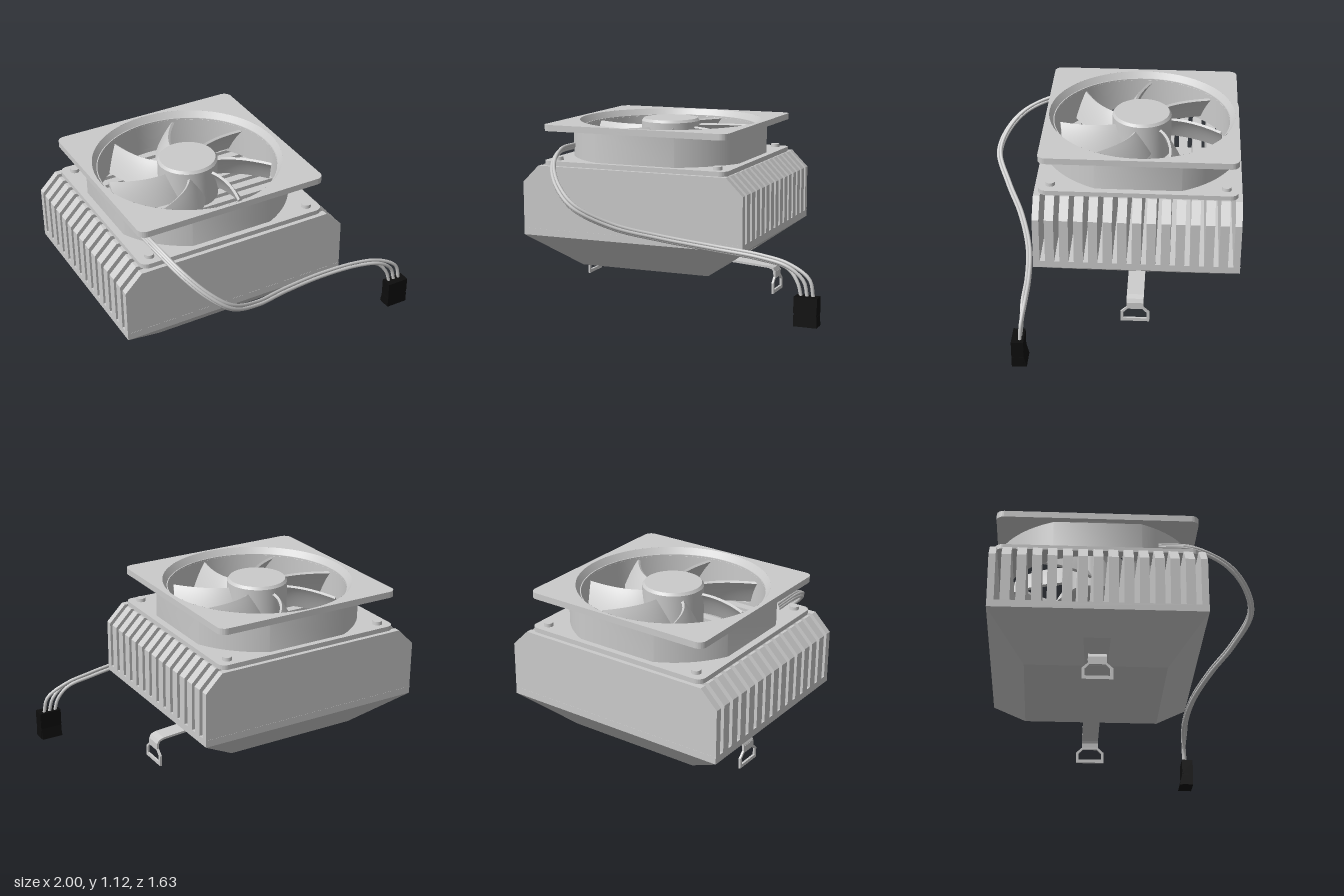
import * as THREE from 'three';
import { toCreasedNormals } from 'three/addons/utils/BufferGeometryUtils.js';
import { ConvexGeometry } from 'three/addons/geometries/ConvexGeometry.js';

const CX = -0.25, CZ = -0.172;
const grey = new THREE.MeshStandardMaterial({ color: 0xcccccc });
const greyDouble = new THREE.MeshStandardMaterial({ color: 0xcccccc, side: THREE.DoubleSide });
const black = new THREE.MeshStandardMaterial({ color: 0x0d0d0d });

function add(parent, name, geometry, material = grey) {
  const mesh = new THREE.Mesh(geometry, material);
  mesh.name = name;
  parent.add(mesh);
  return mesh;
}

const polygon = (pts) => new THREE.Shape(pts.map(([x, y]) => new THREE.Vector2(x, y)));
const extrude = (shape, depth) =>
  new THREE.ExtrudeGeometry(shape, { depth, bevelEnabled: false, curveSegments: 48 });
const hull = (pts) => new ConvexGeometry(pts.map((p) => new THREE.Vector3(...p)));

// Horizontal plate with a round opening, lying between y0 and y1
function plate(shape, hole, y0, y1) {
  shape.holes.push(new THREE.Path().absarc(0, 0, hole, 0, Math.PI * 2, true));
  const g = extrude(shape, y1 - y0).rotateX(-Math.PI / 2).translate(0, y0, 0);
  return toCreasedNormals(g, 0.5);
}

function roundedSquare(hx, hy, r) {
  const s = new THREE.Shape();
  s.absarc(hx - r, hy - r, r, 0, Math.PI / 2);
  s.absarc(r - hx, hy - r, r, Math.PI / 2, Math.PI);
  s.absarc(r - hx, r - hy, r, Math.PI, Math.PI * 1.5);
  s.absarc(hx - r, r - hy, r, Math.PI * 1.5, Math.PI * 2);
  return s;
}

function heatSink() {
  const g = new THREE.Group();
  g.name = 'heatSink';
  const rim = add(g, 'baseRim', new THREE.BoxGeometry(1.5, 0.045, 1.29));
  rim.position.set(CX, 0.4175, CZ);

  // Parallel fins with chamfered top corners; the end fins are thinner
  const profile = [[-1, 0.43], [0.5, 0.43], [0.5, 0.74], [0.39, 0.85], [-0.89, 0.85], [-1, 0.74]];
  for (let i = -7; i <= 7; i++) {
    const end = Math.abs(i) === 7, depth = end ? 0.042 : 0.057;
    const z = end ? CZ + Math.sign(i) * 0.623 : CZ + i * 0.09;
    add(g, 'fin', extrude(polygon(profile), depth)).position.z = z - depth / 2;
  }

  // Tapered base with a tunnel for the clip, made from convex pieces
  const section = (y) => {
    const t = (y - 0.175) / 0.22;
    return { hx: 0.44 + 0.31 * t, hz: 0.425 + 0.22 * t };
  };
  const slab = (levels) => hull(levels.flatMap(([y, z0, z1]) => {
    const { hx } = section(y);
    return [[CX - hx, y, z0], [CX + hx, y, z0], [CX - hx, y, z1], [CX + hx, y, z1]];
  }));
  const low = 0.185, high = 0.285;
  const full = (y) => [y, CZ - section(y).hz, CZ + section(y).hz];
  add(g, 'baseTop', slab([full(high), full(0.395)]));
  add(g, 'baseBottom', slab([full(0.175), full(low)]));
  add(g, 'baseFront', slab([[low, CZ + 0.068, full(low)[2]], [high, CZ + 0.08, full(high)[2]]]));
  add(g, 'baseBack', slab([[low, full(low)[1], CZ - 0.068], [high, full(high)[1], CZ - 0.08]]));
  return g;
}

function bladeGeometry() {
  const geo = new THREE.BoxGeometry(1, 1, 1, 12, 1, 6), p = geo.attributes.position;
  const w = 0.05, h = 0.08, len = Math.hypot(w, h);
  for (let i = 0; i < p.count; i++) {
    const u = p.getX(i) + 0.5, side = p.getY(i) * 0.018, s = p.getZ(i) * 2;
    const r = 0.17 + 0.355 * u;
    const a = THREE.MathUtils.degToRad(107 - 38 * u + 9 * u * u);
    const across = s * w - side * h / len;
    p.setXYZ(i,
      r * Math.cos(a) + across * Math.sin(a),
      0.985 + s * h + side * w / len + 0.012 * (1 - s * s),
      -r * Math.sin(a) + across * Math.cos(a));
  }
  return toCreasedNormals(geo, 0.6);
}

function fan() {
  const g = new THREE.Group();
  g.name = 'fan';
  g.position.set(-0.246, 0, CZ);
  add(g, 'lowerPlate', plate(roundedSquare(0.625, 0.617, 0.05), 0.565, 0.85, 0.88));
  add(g, 'upperFlange', plate(roundedSquare(0.627, 0.615, 0.05), 0.597, 1.07, 1.11));

  // Barrel: a cylinder flattened on four sides
  const R = 0.637, flat = Math.acos(0.58 / R), barrel = new THREE.Shape();
  for (let k = 0; k < 4; k++) {
    barrel.absarc(0, 0, R, k * Math.PI / 2 + flat, (k + 1) * Math.PI / 2 - flat);
  }
  add(g, 'barrel', plate(barrel, 0.565, 0.88, 1.07));
  const flare = [[0.565, 1.06], [0.597, 1.11]].map((q) => new THREE.Vector2(...q));
  add(g, 'intakeFlare', new THREE.LatheGeometry(flare, 64), greyDouble);

  // Hub and seven swept blades
  const hub = [[0, 0.84], [0.18, 0.84], [0.19, 0.85], [0.19, 1.1], [0.177, 1.117], [0, 1.117]];
  add(g, 'hub', toCreasedNormals(
    new THREE.LatheGeometry(hub.map((q) => new THREE.Vector2(...q)), 48), 0.5));
  const blade = bladeGeometry();
  for (let i = 0; i < 7; i++) add(g, 'blade', blade).rotation.y = i * Math.PI * 2 / 7;

  // Corner fasteners
  for (const x of [-1, 1]) for (const z of [-1, 1]) {
    add(g, 'fastener', new THREE.CylinderGeometry(0.028, 0.03, 0.022, 24))
      .position.set(x * 0.545, 0.891, z * 0.545);
  }
  return g;
}

function clip() {
  const g = new THREE.Group();
  g.name = 'retainingClip';
  // Spring strip passing through the base and bending down at both ends
  const path = [[-0.815, 0.14], [-0.813, 0.175], [-0.8, 0.195], [-0.775, 0.2], [-0.6, 0.2],
    [0.2, 0.198], [0.465, 0.18], [0.495, 0.17], [0.505, 0.15], [0.507, 0.12]];
  const t = 0.007;
  const normal = (i) => {
    const a = path[Math.max(i - 1, 0)], b = path[Math.min(i + 1, path.length - 1)];
    const dx = b[0] - a[0], dy = b[1] - a[1], l = Math.hypot(dx, dy);
    return [-dy / l * t, dx / l * t];
  };
  const top = path.map(([x, y], i) => [x + normal(i)[0], y + normal(i)[1]]);
  const under = path.map(([x, y], i) => [x - normal(i)[0], y - normal(i)[1]]).reverse();
  add(g, 'clipStrip', extrude(polygon([...top, ...under]), 0.108)).position.z = CZ - 0.054 + 0.004;

  // Hook loops
  for (const [x, y] of [[-0.815, 0.033], [0.507, 0.013]]) {
    const loop = polygon([[-0.092, 0], [0.092, 0], [0.092, 0.07], [0.054, 0.105], [0.054, 0.14],
      [-0.054, 0.14], [-0.054, 0.105], [-0.092, 0.07]]);
    loop.holes.push(polygon([[-0.074, 0.022], [-0.074, 0.066], [-0.046, 0.094],
      [0.046, 0.094], [0.074, 0.066], [0.074, 0.022]]));
    const geo = extrude(loop, 0.014).translate(0, 0, -0.007).rotateY(Math.PI / 2);
    add(g, 'clipHook', geo).position.set(x, y, CZ + 0.004);
  }
  return g;
}

function cable() {
  const g = new THREE.Group();
  g.name = 'cable';
  const route = [[-0.77, 0.95, 0.2], [-0.76, 0.945, 0.42], [-0.7, 0.87, 0.63], [-0.6, 0.765, 0.75],
    [-0.47, 0.66, 0.795], [-0.25, 0.545, 0.71], [0.01, 0.475, 0.6], [0.33, 0.42, 0.515],
    [0.62, 0.385, 0.49], [0.8, 0.345, 0.495]];
  for (let i = -1; i <= 1; i++) {
    const pts = route.map(([x, y, z], k) =>
      new THREE.Vector3(x + i * 0.006, y + i * 0.013, z + (i === 0 ? 0.012 : -0.006) * Math.min(k, 1)));
    pts.push(new THREE.Vector3(0.9 + i * 0.037, 0.265 + i * 0.012, 0.504));
    pts.push(new THREE.Vector3(0.925 + i * 0.038, 0.17, 0.51));
    add(g, 'wire', new THREE.TubeGeometry(new THREE.CatmullRomCurve3(pts), 90, 0.011, 10));
  }
  // Plug with a flared lower lip
  const plug = polygon([[-0.56, 0], [-0.468, 0], [-0.485, 0.07], [-0.485, 0.18], [-0.56, 0.18]]);
  const body = add(g, 'plug', extrude(plug, 0.138).rotateY(Math.PI / 2), black);
  body.position.x = 0.859;
  const collar = add(g, 'plugCollar', new THREE.BoxGeometry(0.145, 0.1, 0.074), black);
  collar.position.set(0.9275, 0.13, 0.523);
  const foot = add(g, 'plugFoot', new THREE.BoxGeometry(0.145, 0.068, 0.074), black);
  foot.position.set(0.9275, 0.034, 0.523);
  return g;
}

export function createModel() {
  const model = new THREE.Group();
  model.name = 'processorCooler';
  model.add(heatSink(), fan(), clip(), cable());
  return model;
}
